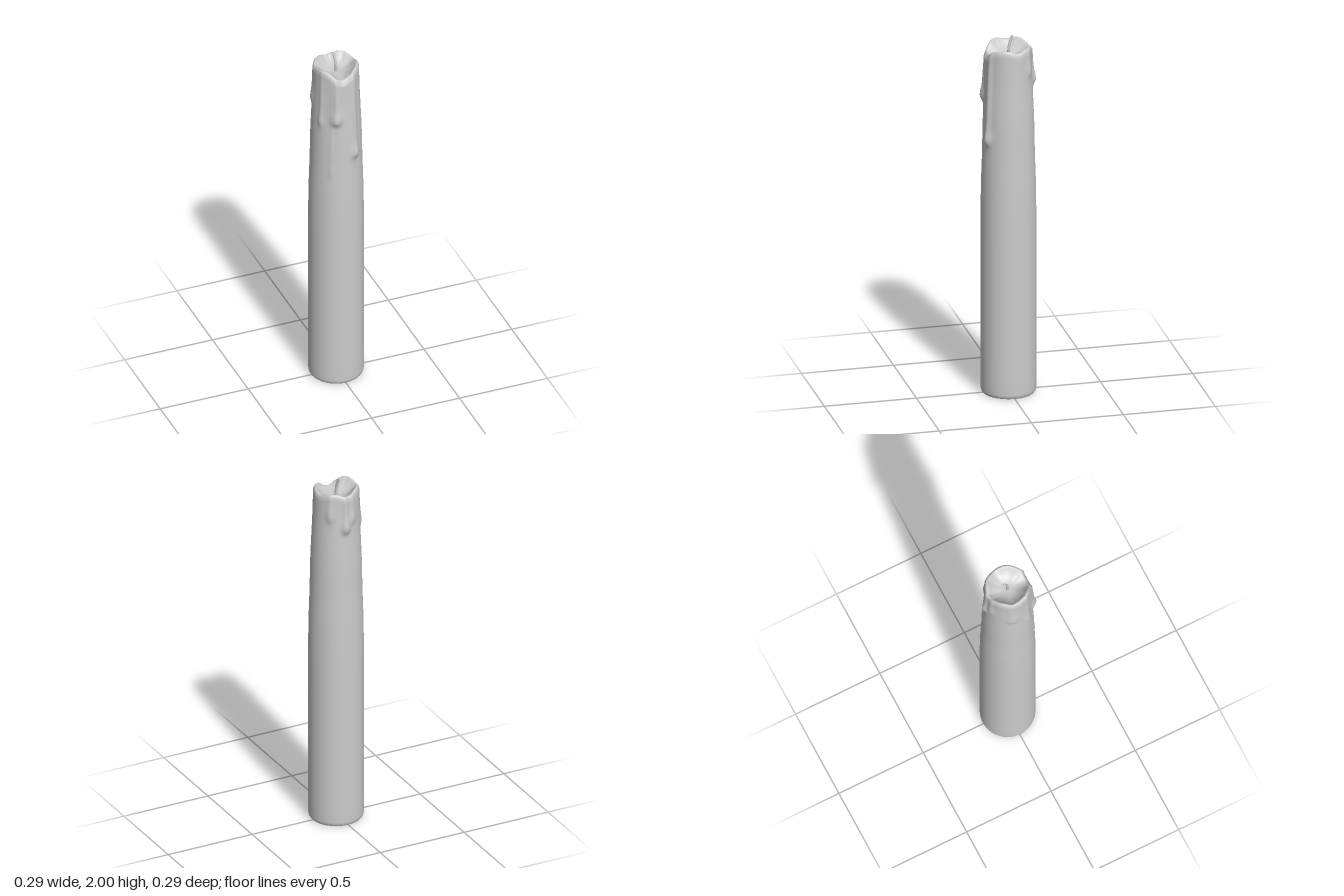
import * as THREE from 'three';

const COLS = 128;
const smooth = THREE.MathUtils.smoothstep;
const lerp = THREE.MathUtils.lerp;

// Bell curve around an angle, wrapped to the full circle
function bell(a, centre, width) {
  const d = Math.atan2(Math.sin(a - centre), Math.cos(a - centre));
  return Math.exp(-((d / width) ** 2));
}

// Wax drips: angle (0 = front, positive towards +x), lower end, width, depth
const drips = [
  { a: 0.42, end: 1.40, w: 0.16, d: 0.019 },
  { a: -0.36, end: 1.62, w: 0.17, d: 0.021 },
  { a: -0.56, end: 1.29, w: 0.10, d: 0.004 },
  { a: -1.05, end: 1.60, w: 0.12, d: 0.008 },
  { a: -1.85, end: 1.70, w: 0.20, d: 0.010 },
  { a: -2.85, end: 1.76, w: 0.14, d: 0.010 },
  { a: 3.08, end: 1.71, w: 0.15, d: 0.020 },
  { a: 2.4, end: 1.78, w: 0.16, d: 0.010 },
];

// Height of the uneven rim
function rimHeight(a) {
  return 1.953 - 0.05 * bell(a, 0, 0.55) - 0.02 * bell(a, 3.1, 0.4)
    - 0.02 * bell(a, 1.75, 0.35) - 0.008 * bell(a, -1.8, 0.3) + 0.004 * Math.sin(5 * a);
}

// Radius of the tapered side, with the drips added
function sideRadius(a, y) {
  let r = 0.147 - 0.009 * smooth(y, 1.05, 1.45) - 0.016 * smooth(y, 1.4, 1.93);
  for (const p of drips) {
    const up = y - p.end;
    const bulb = Math.exp(-(((up - 0.045) / 0.045) ** 2));
    const trail = smooth(up, -0.005, 0.04) * (1 - 0.45 * smooth(y, 1.75, 1.95));
    r += p.d * bell(a, p.a, p.w * (0.85 + 0.25 * bulb)) * (0.62 * trail + 0.45 * bulb);
  }
  return r;
}

// Closed surface from rings, each ring a rule giving [radius, height] at an angle
function ringSurface(rings) {
  const pos = [], index = [];
  rings.forEach((ring, j) => {
    for (let i = 0; i < COLS; i++) {
      const a = (i / COLS) * Math.PI * 2;
      const [r, y] = ring(a);
      pos.push(r * Math.sin(a), y, r * Math.cos(a));
      if (j === 0) continue;
      const k = (i + 1) % COLS, lo = (j - 1) * COLS, hi = j * COLS;
      index.push(lo + i, lo + k, hi + k, lo + i, hi + k, hi + i);
    }
  });
  const g = new THREE.BufferGeometry();
  g.setAttribute('position', new THREE.Float32BufferAttribute(pos, 3));
  g.setIndex(index);
  g.computeVertexNormals();
  return g;
}

export function createModel() {
  const group = new THREE.Group();
  const material = new THREE.MeshStandardMaterial({ color: 0xcccccc });
  const add = (name, geometry) => {
    const mesh = new THREE.Mesh(geometry, material);
    mesh.name = name;
    group.add(mesh);
    return mesh;
  };

  // Side wall: small bevel, plain lower shaft, dense rows through the drips
  const rings = [() => [0.138, 0], () => [0.144, 0.008], () => [0.147, 0.022]];
  for (let y = 0.1; y < 1.2; y += 0.15) rings.push((a) => [sideRadius(a, y), y]);
  const rows = 80;
  for (let j = 0; j <= rows; j++) {
    rings.push((a) => {
      const y = lerp(1.22, rimHeight(a) - 0.028, j / rows);
      return [sideRadius(a, y), y];
    });
  }

  // Rounded rim, slumping outwards at the front, then the melted bowl
  const rim = [[0.985, 0.014], [0.95, 0.005], [0.91, 0], [0.86, 0.002]];
  for (const [s, drop] of rim) {
    rings.push((a) => {
      const h = rimHeight(a);
      return [sideRadius(a, h - 0.028) * (s - 0.05 * bell(a, 0, 0.5)), h - drop];
    });
  }
  for (let j = 1; j <= 12; j++) {
    const t = 1 - j / 12;
    rings.push((a) => {
      const h = rimHeight(a);
      const r = sideRadius(a, h - 0.028) * (0.86 - 0.05 * bell(a, 0, 0.5)) * t;
      return [r, lerp(1.893, h - 0.002, t ** 2.6)];
    });
  }
  add('waxBody', ringSurface(rings));

  // Flat underside
  const base = add('base', new THREE.CircleGeometry(0.138, COLS));
  base.rotation.x = Math.PI / 2;

  // Bent wick with a closed tip
  const path = new THREE.CatmullRomCurve3([
    new THREE.Vector3(0, 1.885, 0),
    new THREE.Vector3(0, 1.935, -0.002),
    new THREE.Vector3(-0.002, 1.965, -0.01),
    new THREE.Vector3(-0.005, 1.997, -0.021),
  ]);
  add('wick', new THREE.TubeGeometry(path, 12, 0.007, 10));
  const tip = add('wickTip', new THREE.SphereGeometry(0.007, 10, 6));
  tip.scale.y = 0.5;
  tip.position.copy(path.getPoint(1));

  return group;
}
